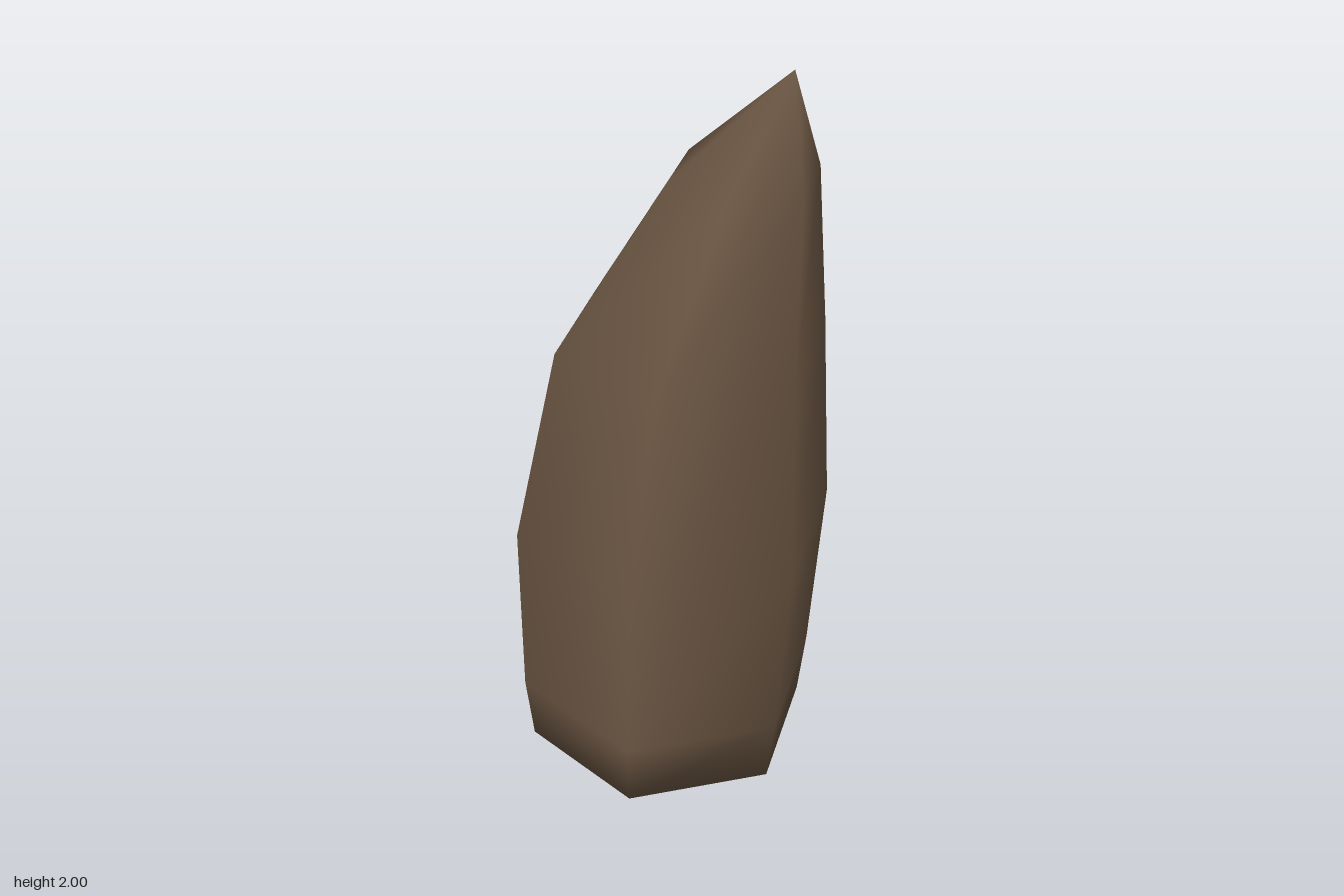
import * as THREE from 'three';

const SIDES = 6;

// Hexagonal cross-sections from the ground up: height, radius, centre x, centre z
const RINGS = [
  [0, 0.386, -0.024, 0.014],
  [0.18, 0.408, -0.022, 0.012],
  [0.67, 0.431, 0, 0.001],
  [1.23, 0.356, 0.036, 0.037],
  [1.715, 0.19, 0.14, 0.13],
];
const TIP = [0.233, 2, 0.205];

// Closed, smooth-shaded loft through the rings, ending in a leaning point
function spikeGeometry() {
  const positions = [];
  const index = [];
  for (const [y, r, cx, cz] of RINGS) {
    for (let i = 0; i < SIDES; i++) {
      const a = (i / SIDES) * Math.PI * 2;
      positions.push(cx + r * Math.cos(a), y, cz + r * Math.sin(a));
    }
  }
  const tip = RINGS.length * SIDES;
  const base = tip + 1;
  positions.push(...TIP, RINGS[0][2], 0, RINGS[0][3]);

  for (let i = 0; i < SIDES; i++) {
    const j = (i + 1) % SIDES;
    // side walls
    for (let k = 0; k < RINGS.length - 1; k++) {
      const lo = k * SIDES;
      const hi = lo + SIDES;
      index.push(lo + i, hi + i, lo + j, lo + j, hi + i, hi + j);
    }
    // point and underside share the ring vertices, so shading rolls over the edges
    const top = tip - SIDES;
    index.push(top + i, tip, top + j);
    index.push(i, j, base);
  }

  const geometry = new THREE.BufferGeometry();
  geometry.setAttribute('position', new THREE.Float32BufferAttribute(positions, 3));
  geometry.setIndex(index);
  geometry.computeVertexNormals();
  return geometry;
}

export function createModel() {
  const brown = new THREE.MeshStandardMaterial({ color: 0x6b5643 });
  brown.name = 'earthBrown';

  const group = new THREE.Group();
  group.name = 'rockSpike';
  const spike = new THREE.Mesh(spikeGeometry(), brown);
  spike.name = 'spike';
  group.add(spike);
  return group;
}
